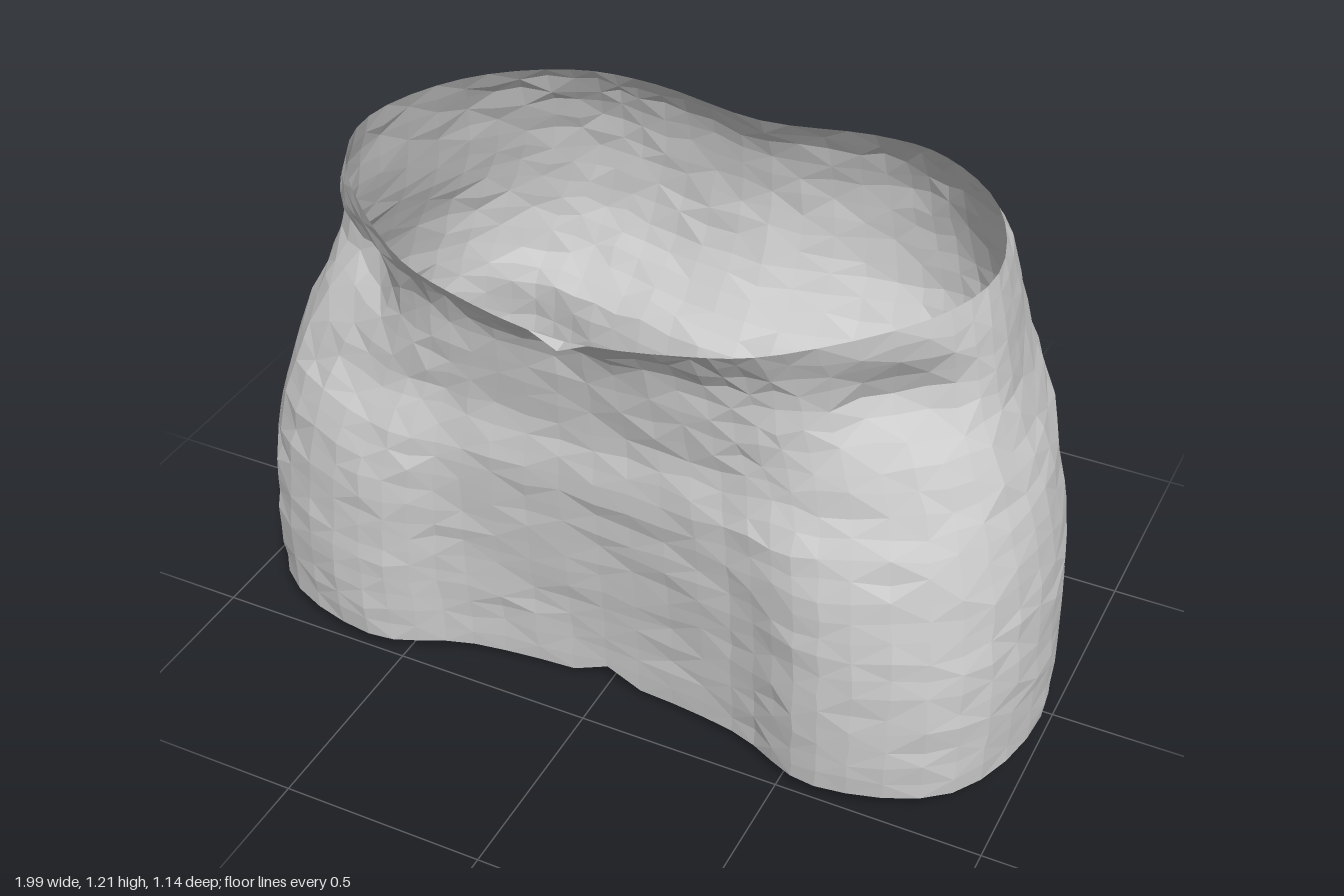
import * as THREE from 'three';

// Half outline, front centre -> side -> back centre: x as a fraction of half width
const U = [0, 0.35, 0.6, 0.9, 1, 0.88, 0.63, 0.37, 0];

// Cross-sections from hem to waist: height, half width, depth at each outline point
const SECTIONS = [
  { y: 0.03, w: 0.99, z: [0.37, 0.41, 0.5, 0.4, 0.07, -0.28, -0.375, -0.325, -0.26] },
  { y: 0.2, w: 0.995, z: [0.38, 0.42, 0.51, 0.4, 0.07, -0.285, -0.4, -0.345, -0.265] },
  { y: 0.4, w: 0.985, z: [0.4, 0.43, 0.5, 0.39, 0.06, -0.29, -0.42, -0.365, -0.29] },
  { y: 0.53, w: 0.97, z: [0.41, 0.44, 0.49, 0.37, 0.05, -0.3, -0.42, -0.39, -0.33] },
  { y: 0.6, w: 0.955, z: [0.42, 0.44, 0.475, 0.36, 0.05, -0.305, -0.47, -0.48, -0.42] },
  { y: 0.68, w: 0.935, z: [0.42, 0.44, 0.45, 0.34, 0.05, -0.32, -0.5, -0.54, -0.485] },
  { y: 0.76, w: 0.905, z: [0.41, 0.42, 0.41, 0.31, 0.05, -0.325, -0.52, -0.565, -0.525] },
  { y: 0.9, w: 0.835, z: [0.43, 0.43, 0.4, 0.27, 0.05, -0.325, -0.53, -0.575, -0.55] },
  { y: 1.03, w: 0.805, z: [0.46, 0.45, 0.41, 0.26, 0.05, -0.29, -0.49, -0.55, -0.53] },
  { y: 1.13, w: 0.775, z: [0.56, 0.53, 0.46, 0.26, 0.04, -0.23, -0.42, -0.485, -0.465] },
];
// Rise and fall of the hem and of the waist edge around the outline
const HEM = [-0.01, 0, 0.01, 0.03, 0.025, -0.005, -0.03, -0.02, -0.01];
const WAIST = [0, 0.02, 0.04, 0.07, 0.08, 0.07, 0.05, 0.025, 0.005];

const COLS = 64, ROWS = 24;

// Closed smooth ring for one section, mirrored across x
function ring({ y, w, z }) {
  const hem = Math.max(0, 1 - y / 0.4), waist = THREE.MathUtils.smoothstep(y, 0.7, 1.13);
  const half = U.map((u, i) => new THREE.Vector3(u * w, y + hem * HEM[i] + waist * WAIST[i], z[i]));
  const mirror = half.slice(1, -1).reverse().map(p => new THREE.Vector3(-p.x, p.y, p.z));
  const curve = new THREE.CatmullRomCurve3([...half, ...mirror], true, 'catmullrom', 0.5);
  return Array.from({ length: COLS }, (_, c) => curve.getPoint(c / COLS));
}

function skirtGeometry() {
  let seed = 7;
  const rand = () => ((seed = (seed * 16807) % 2147483647) / 2147483647) - 0.5;
  const rings = SECTIONS.map(ring);
  // One smooth line up the cloth for each column
  const columns = Array.from({ length: COLS }, (_, c) =>
    new THREE.CatmullRomCurve3(rings.map(r => r[c]), false, 'catmullrom', 0.5));

  const pos = [], index = [];
  for (let r = 0; r <= ROWS; r++) {
    for (let c = 0; c < COLS; c++) {
      const p = columns[c].getPointAt(r / ROWS);
      if (r > 0 && r < ROWS) {
        // Slight crumple of the cloth
        p.x += rand() * 0.008;
        p.y += rand() * 0.02;
        p.z += rand() * 0.008;
        // Broad tuck below the waist at both front corners
        const dx = Math.abs(p.x) - 0.68, dy = p.y - 0.99, dz = p.z - 0.3;
        const tuck = 0.055 * Math.exp(-(dx * dx + dz * dz) / 0.02 - dy * dy / 0.008);
        p.x -= Math.sign(p.x) * tuck;
        p.z -= tuck;
      } else if (c === 0) {
        // Small notch in the middle of each front edge
        p.y += r === 0 ? 0.04 : -0.03;
      }
      pos.push(p.x, p.y, p.z);
    }
  }
  for (let r = 0; r < ROWS; r++) {
    for (let c = 0; c < COLS; c++) {
      const a = r * COLS + c, b = r * COLS + (c + 1) % COLS;
      const d = a + COLS, e = b + COLS;
      // Alternate diagonals for irregular facets
      if ((r + c) % 2) index.push(a, b, e, a, e, d);
      else index.push(a, b, d, b, e, d);
    }
  }
  const g = new THREE.BufferGeometry();
  g.setAttribute('position', new THREE.Float32BufferAttribute(pos, 3));
  g.setIndex(index);
  g.computeVertexNormals();
  return g;
}

export function createModel() {
  const group = new THREE.Group();
  group.name = 'skirt';
  const cloth = new THREE.Mesh(skirtGeometry(), new THREE.MeshStandardMaterial({
    color: 0xcccccc, flatShading: true, side: THREE.DoubleSide,
  }));
  cloth.name = 'skirtCloth';
  group.add(cloth);
  return group;
}
